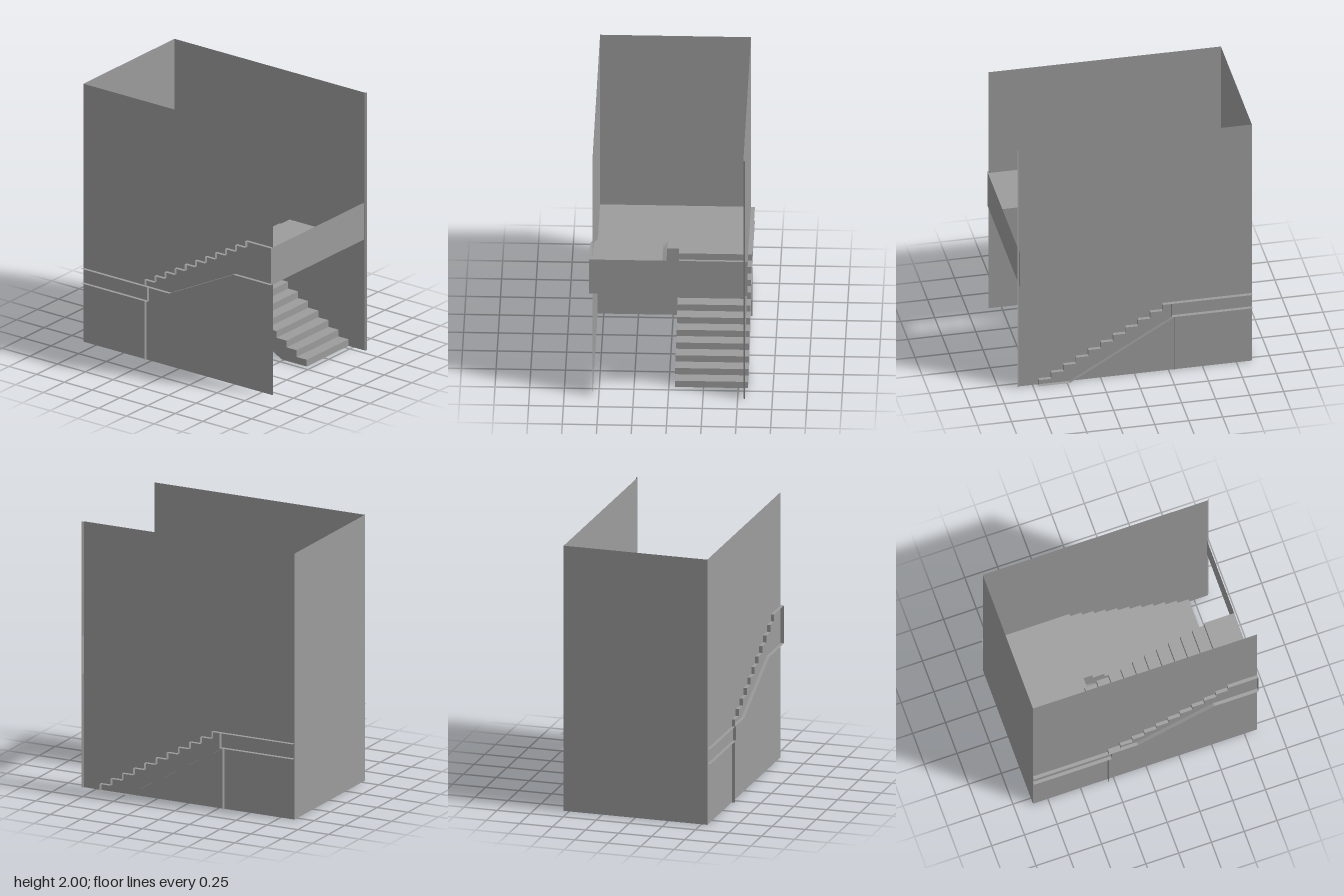
import * as THREE from 'three';

const material = new THREE.MeshStandardMaterial({ color: 0x9c9c9c, side: THREE.DoubleSide, flatShading: true });

function part(name, geometry) {
  const mesh = new THREE.Mesh(geometry, material);
  mesh.name = name;
  return mesh;
}

// Thin folded sheet: a path of [x, y, z] points swept along one offset vector
function sheet(name, path, [ox, oy, oz]) {
  const pos = [];
  for (let i = 0; i < path.length - 1; i++) {
    const a = path[i], b = path[i + 1];
    const c = [b[0] + ox, b[1] + oy, b[2] + oz];
    const d = [a[0] + ox, a[1] + oy, a[2] + oz];
    pos.push(...a, ...b, ...c, ...a, ...c, ...d);
  }
  const geometry = new THREE.BufferGeometry();
  geometry.setAttribute('position', new THREE.Float32BufferAttribute(pos, 3));
  geometry.computeVertexNormals();
  return part(name, geometry);
}

// Sheet with a [z, y] profile running from x0 to x1
const across = (name, profile, x0, x1) =>
  sheet(name, profile.map(([z, y]) => [x0, y, z]), [x1 - x0, 0, 0]);

// Flat side panel with a [z, y] outline at a given x
function sidePanel(name, outline, x) {
  const shape = new THREE.Shape(outline.map(([z, y]) => new THREE.Vector2(z, y)));
  return part(name, new THREE.ShapeGeometry(shape).rotateY(-Math.PI / 2).translate(x, 0, 0));
}

// Zigzag of risers and treads; dir is the climbing direction along z
function steps(z, y, dir, count, rise, going) {
  const points = [[z, y]];
  for (let i = 0; i < count; i++) {
    y += rise;
    points.push([z, y]);
    if (i < count - 1) {
      z += dir * going;
      points.push([z, y]);
    }
  }
  return points;
}

export function createModel() {
  const group = new THREE.Group();
  const W = 0.57, gap = 0.043, back = -0.863, front = 0.849;
  const count = 11, going = 0.091, mid = 0.573, rise = mid / count;
  const top = mid * 2, under = 0.46, topUnder = 0.86;
  const edge = -0.269, wall = -0.293;

  // Enclosing walls, open to the front, with a narrow return on one side
  group.add(sheet('stairwellWalls', [
    [-0.545, 0, front - 0.002], [-0.545, 0, back], [0.541, 0, back], [0.541, 0, 0.851], [0.554, 0, 0.863],
  ], [0, 2, 0]));

  // Lower flight climbs to the back
  const lowerTop = [...steps(0.708, 0, -1, count, rise, going), [edge, mid]];
  const lowerUnder = [[0.708, 0], [0.48, 0], [wall, under]];
  group.add(across('lowerSteps', lowerTop, gap, W));
  group.add(across('lowerSoffit', lowerUnder, gap, W));
  group.add(sidePanel('lowerInnerSide', [...lowerTop, ...lowerUnder.slice(1).reverse()], gap));

  // Half landing and the wall carrying it
  group.add(across('landingTop', [[back, mid], [edge, mid]], -W, W));
  group.add(across('landingSoffit', [[back, under], [edge, under]], -W, W));
  group.add(across('landingEdge', [[edge, under], [edge, mid]], -W, W));
  group.add(across('landingWall', [[wall, 0], [wall, under]], -W, W));

  // Upper flight climbs to the front and ends in the top landing
  const upperTop = [...steps(wall, mid, 1, count, rise, going), [front, top]];
  const upperUnder = [[wall, mid], [-0.07, mid], [0.51, topUnder], [front, topUnder]];
  group.add(across('upperSteps', upperTop, -W, -gap));
  group.add(across('upperSoffit', upperUnder, -W, -gap));
  group.add(sidePanel('upperInnerSide', [...upperTop, ...upperUnder.slice(1).reverse()], -gap));

  // Front fascia spanning the whole width
  group.add(across('frontFascia', [[front, topUnder], [front, top]], -W, W));

  return group;
}
